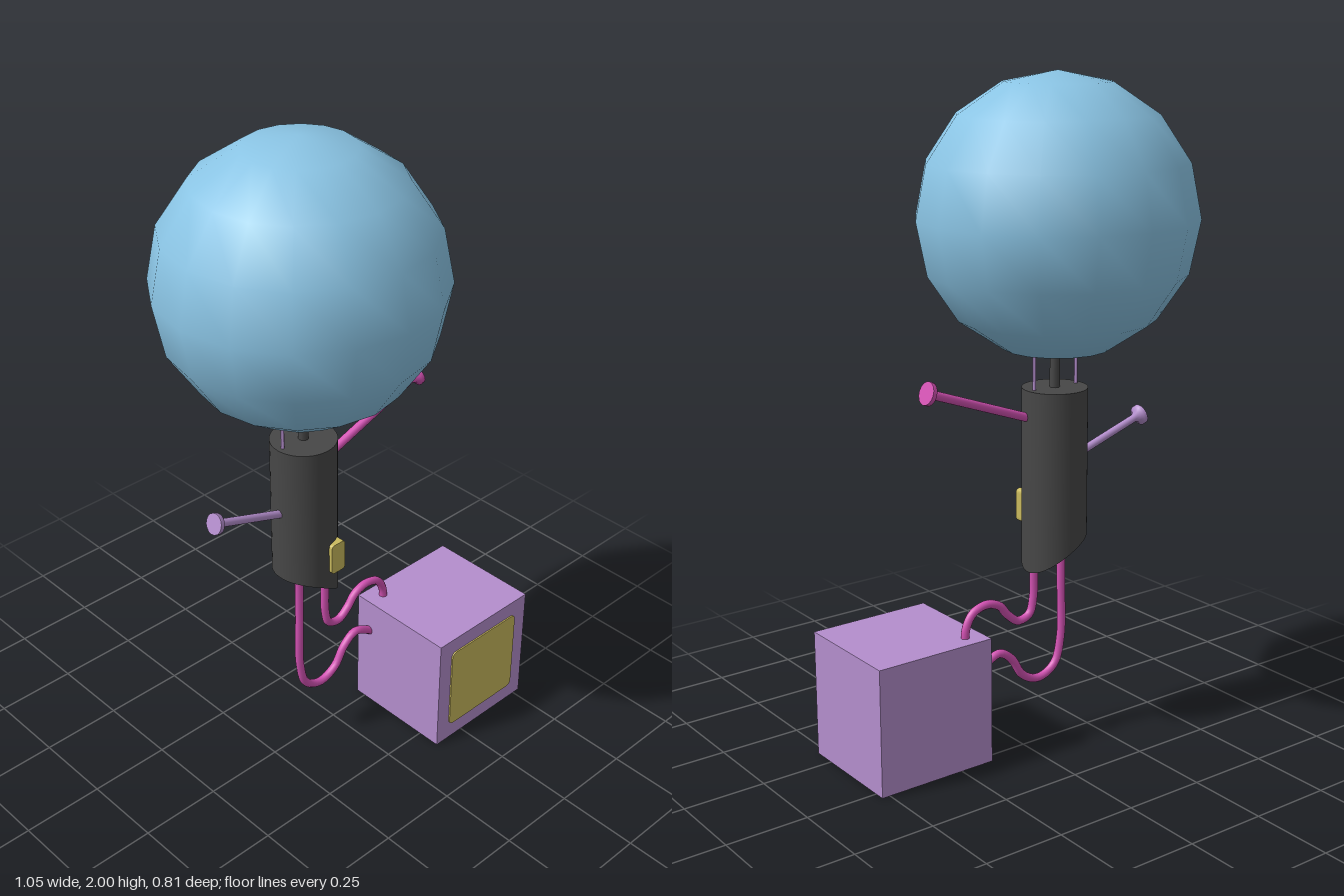
import * as THREE from 'three';

export function createModel() {
  const model = new THREE.Group();
  model.name = 'balloonFigure';

  const mat = (name, color) => {
    const m = new THREE.MeshStandardMaterial({ color });
    m.name = name;
    return m;
  };
  const blue = mat('sky blue', 0x8ac4e4);
  const charcoal = mat('charcoal', 0x474747);
  const lavender = mat('lavender', 0xb48ecd);
  const magenta = mat('magenta', 0xd452b4);
  const mustard = mat('mustard', 0xcaba5e);

  const add = (name, geometry, material, x = 0, y = 0, z = 0) => {
    const mesh = new THREE.Mesh(geometry, material);
    mesh.name = name;
    mesh.position.set(x, y, z);
    model.add(mesh);
    return mesh;
  };

  const bodyX = -0.115, bodyR = 0.097, bodyTop = 1.1;

  // Balloon head
  add('balloonHead', new THREE.SphereGeometry(0.407, 16, 8), blue, -0.12, 1.593, 0);

  // Neck and the two strings holding the balloon
  add('neck', new THREE.CylinderGeometry(0.015, 0.015, 0.16, 12), charcoal, bodyX, 1.15, 0);
  for (const x of [-0.193, -0.04]) {
    add('string', new THREE.CylinderGeometry(0.005, 0.005, 0.19, 8), lavender, x, 1.165, 0);
  }

  // Body tube: its lower rim sweeps down toward +x
  const body = new THREE.CylinderGeometry(bodyR, bodyR, 1, 40);
  const pos = body.attributes.position, nor = body.attributes.normal;
  for (let i = 0; i < pos.count; i++) {
    if (pos.getY(i) > 0) {
      pos.setY(i, bodyTop);
      continue;
    }
    const t = (pos.getX(i) + bodyR) / (2 * bodyR);
    pos.setY(i, 0.66 - 0.035 * t - 0.075 * t * t);
    if (nor.getY(i) < -0.5) {
      const n = new THREE.Vector3(-0.18 - 0.77 * t, -1, 0).normalize();
      nor.setXYZ(i, n.x, n.y, n.z);
    }
  }
  add('body', body, charcoal, bodyX, 0, 0);

  // Arms: a thin rod that flares into a round hand
  const addArm = (name, from, to, r, hand, material) => {
    const a = new THREE.Vector3(...from), dir = new THREE.Vector3(...to).sub(a);
    const len = dir.length();
    const profile = [
      [0, 0], [r, 0], [r, len - 0.03], [hand * 0.6, len - 0.018],
      [hand, len - 0.013], [hand, len], [0, len],
    ].map(([x, y]) => new THREE.Vector2(x, y));
    // Duplicate rim points keep the hand's edges crisp
    profile.splice(6, 0, profile[5].clone());
    const arm = add(name, new THREE.LatheGeometry(profile, 16), material, ...from);
    arm.quaternion.setFromUnitVectors(new THREE.Vector3(0, 1, 0), dir.normalize());
  };
  addArm('leftArm', [-0.04, 1.013, 0.015], [0.323, 1.142, 0.015], 0.013, 0.034, magenta);
  addArm('rightArm', [-0.18, 0.875, 0], [-0.449, 0.966, 0], 0.012, 0.031, lavender);

  // Legs: bent hoses running from the body into the box
  const addLeg = (name, points) => {
    const curve = new THREE.CatmullRomCurve3(points.map(([x, y]) => new THREE.Vector3(x, y, 0.017)));
    add(name, new THREE.TubeGeometry(curve, 64, 0.013, 10), magenta);
  };
  addLeg('rightLeg', [
    [-0.155, 0.68], [-0.155, 0.5], [-0.155, 0.31], [-0.13, 0.225], [-0.07, 0.195],
    [-0.01, 0.22], [0.03, 0.28], [0.075, 0.31], [0.125, 0.29], [0.18, 0.25],
  ]);
  addLeg('leftLeg', [
    [-0.05, 0.64], [-0.052, 0.54], [-0.05, 0.46], [-0.035, 0.41], [0.005, 0.397],
    [0.045, 0.425], [0.075, 0.46], [0.12, 0.475], [0.17, 0.46], [0.195, 0.42], [0.2, 0.36],
  ]);

  // Box the figure stands in
  add('box', new THREE.BoxGeometry(0.385, 0.39, 0.357), lavender, 0.333, 0.195, 0.145);

  // Rounded plates: box panel and body badge
  const plate = (w, h, r, depth) => {
    const s = new THREE.Shape(), x = w / 2, y = h / 2;
    s.moveTo(-x + r, -y).lineTo(x - r, -y).quadraticCurveTo(x, -y, x, -y + r);
    s.lineTo(x, y - r).quadraticCurveTo(x, y, x - r, y);
    s.lineTo(-x + r, y).quadraticCurveTo(-x, y, -x, y - r);
    s.lineTo(-x, -y + r).quadraticCurveTo(-x, -y, -x + r, -y);
    return new THREE.ExtrudeGeometry(s, { depth, bevelEnabled: false, curveSegments: 5 });
  };
  add('boxPanel', plate(0.285, 0.285, 0.02, 0.006), mustard, 0.333, 0.197, 0.322);
  add('bodyBadge', plate(0.052, 0.1, 0.012, 0.035), mustard, -0.081, 0.725, 0.073);

  return model;
}
